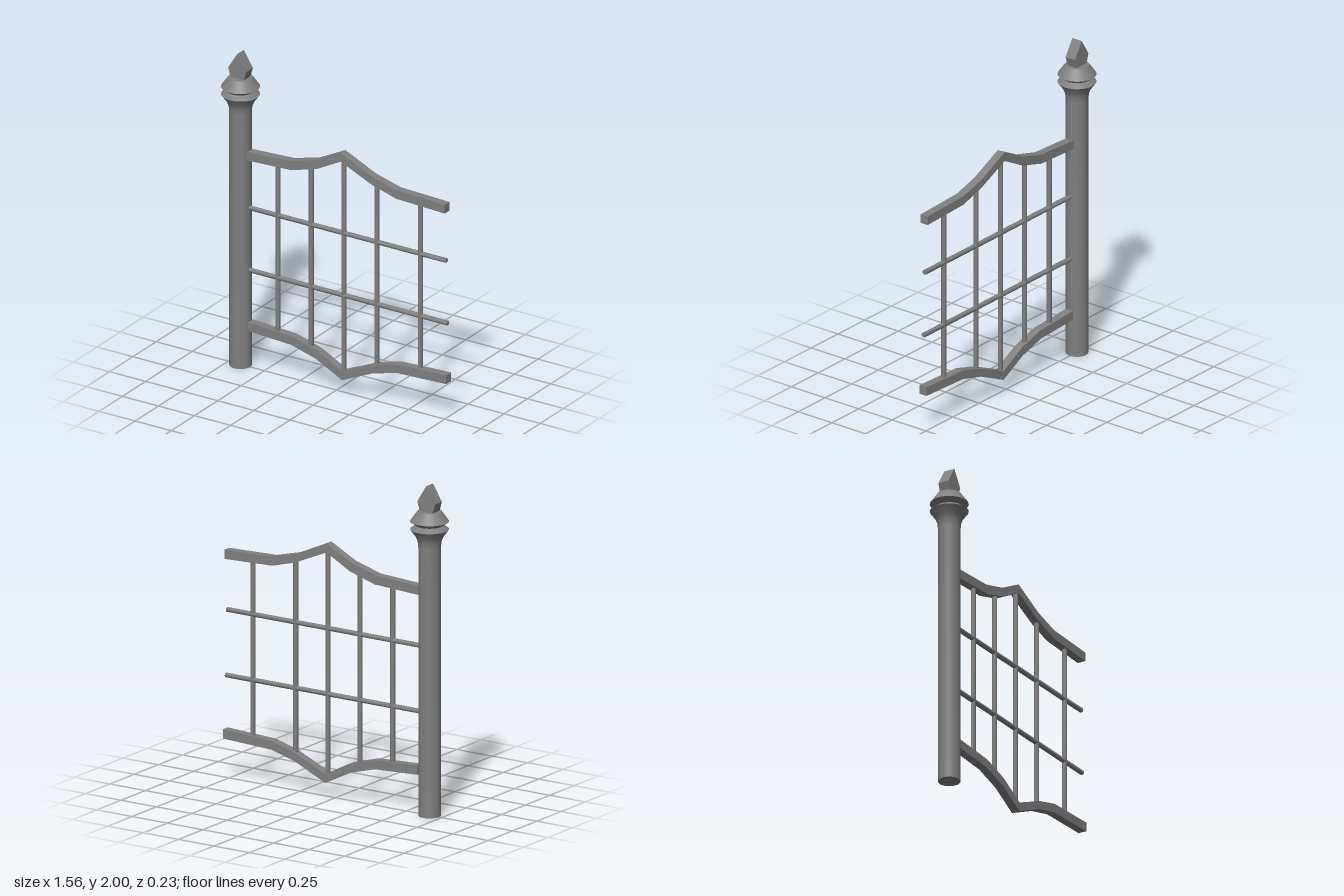
import * as THREE from 'three';
import { toCreasedNormals } from 'three/addons/utils/BufferGeometryUtils.js';

export function createModel() {
  const gate = new THREE.Group();
  gate.name = 'gardenGate';
  const iron = new THREE.MeshStandardMaterial({ color: 0x808080 });
  iron.name = 'grey iron';
  const POST_X = -0.665;

  const add = (name, geometry, x = 0, y = 0, z = 0) => {
    const mesh = new THREE.Mesh(geometry, iron);
    mesh.name = name;
    mesh.position.set(x, y, z);
    gate.add(mesh);
    return mesh;
  };

  // Extrude a flat outline, centred on z = 0
  const plate = (points, depth) => {
    const shape = new THREE.Shape(points.map(([x, y]) => new THREE.Vector2(x, y)));
    const geometry = new THREE.ExtrudeGeometry(shape, { depth, bevelEnabled: false });
    return geometry.translate(0, 0, -depth / 2);
  };

  // Turned post with a flared, double-ringed cap
  const profile = [
    [0, 0], [0.066, 0], [0.066, 1.62], [0.07, 1.66], [0.082, 1.69], [0.114, 1.733],
    [0.08, 1.757], [0.114, 1.781], [0.07, 1.843], [0, 1.843],
  ].map(([r, y]) => new THREE.Vector2(r, y));
  add('post', toCreasedNormals(new THREE.LatheGeometry(profile, 32), 0.5), POST_X);

  // Spearhead finial
  add('finial', plate([[-0.045, 1.84], [0.045, 1.84], [0.063, 1.9], [0, 2], [-0.063, 1.9]], 0.07), POST_X);

  // Curved rails: lower edge left to right, then upper edge back
  const rail = (lower, upper) => plate([...lower, ...upper.reverse()], 0.052);
  add('topRail', rail(
    [[-0.605, 1.33], [-0.295, 1.344], [-0.12, 1.395], [0.045, 1.483], [0.265, 1.387], [0.43, 1.341], [0.766, 1.329]],
    [[-0.605, 1.385], [-0.305, 1.4], [-0.13, 1.448], [0.045, 1.538], [0.26, 1.44], [0.43, 1.395], [0.766, 1.384]],
  ));
  add('bottomRail', rail(
    [[-0.595, 0.24], [-0.3, 0.226], [-0.125, 0.178], [0.055, 0.086], [0.265, 0.182], [0.435, 0.227], [0.777, 0.24]],
    [[-0.595, 0.296], [-0.29, 0.28], [-0.115, 0.23], [0.055, 0.141], [0.27, 0.235], [0.435, 0.282], [0.777, 0.296]],
  ));

  // Round bars
  const bar = (length) => toCreasedNormals(new THREE.CylinderGeometry(0.015, 0.015, length, 8), 1);

  // Upright bars: x, bottom, top
  [
    [-0.405, 0.27, 1.35], [-0.175, 0.23, 1.39], [0.052, 0.13, 1.49],
    [0.28, 0.23, 1.39], [0.582, 0.27, 1.35],
  ].forEach(([x, y0, y1], i) => add(`uprightBar${i + 1}`, bar(y1 - y0), x, (y0 + y1) / 2));

  // Cross bars: y, right end
  [[1.018, 0.763], [0.62, 0.772]].forEach(([y, end], i) => {
    const start = -0.61;
    add(`crossBar${i + 1}`, bar(end - start), (start + end) / 2, y).rotation.z = Math.PI / 2;
  });

  return gate;
}
